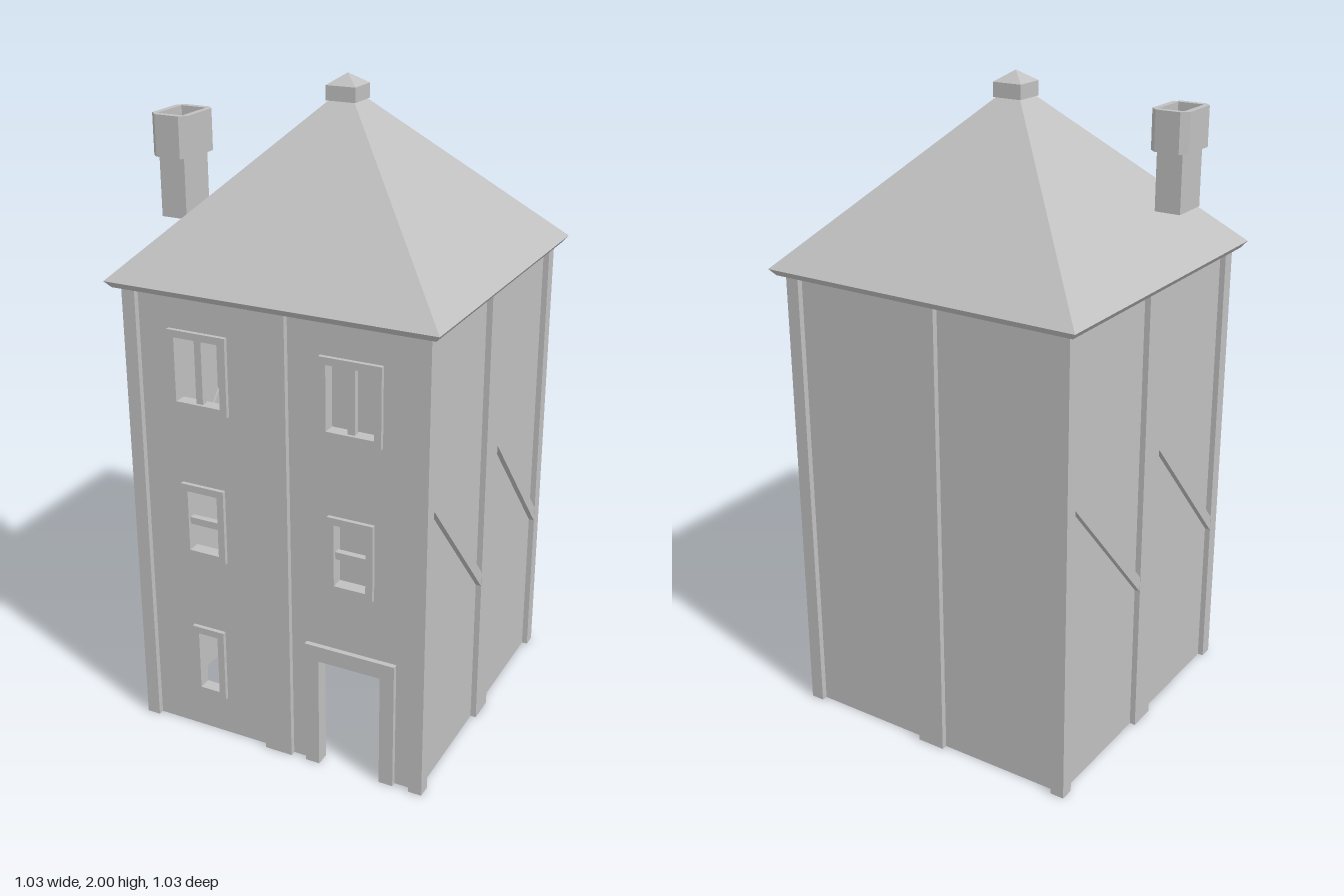
import * as THREE from 'three';

const stone = new THREE.MeshStandardMaterial({ color: 0xc0c0c0 });
stone.name = 'stone grey';

export function createModel() {
  const model = new THREE.Group();
  model.name = 'towerHouse';

  const add = (name, geometry, parent = model) => {
    const mesh = new THREE.Mesh(geometry, stone);
    mesh.name = name;
    parent.add(mesh);
    return mesh;
  };
  // Box given by its minimum and maximum corners
  const box = (name, a, b, parent) => add(name, new THREE.BoxGeometry(b[0] - a[0], b[1] - a[1], b[2] - a[2])
    .translate((a[0] + b[0]) / 2, (a[1] + b[1]) / 2, (a[2] + b[2]) / 2), parent);
  // Flat-sided square frustum given by half widths
  const frustum = (name, top, bottom, y0, y1) => {
    const g = new THREE.CylinderGeometry(top * Math.SQRT2, bottom * Math.SQRT2, y1 - y0, 4)
      .rotateY(Math.PI / 4).translate(0, (y0 + y1) / 2, 0).toNonIndexed();
    g.computeVertexNormals();
    return add(name, g);
  };
  const polygon = (points, Type = THREE.Shape) => new Type(points.map(p => new THREE.Vector2(...p)));
  const rect = (x0, y0, x1, y1) => [[x0, y0], [x1, y0], [x1, y1], [x0, y1]];
  const slab = (shape, depth) => new THREE.ExtrudeGeometry(shape, { depth, bevelEnabled: false });

  const TOP = 1.445, OUT = 0.48, IN = 0.437;

  // Windows: centre x, y range, half width, and glazing bar direction
  const windows = [
    { x: -0.243, y0: 1.09, y1: 1.33, w: 0.095, bar: 'vertical' },
    { x: 0.241, y0: 1.09, y1: 1.33, w: 0.095, bar: 'vertical' },
    { x: -0.243, y0: 0.61, y1: 0.85, w: 0.072, bar: 'horizontal' },
    { x: 0.241, y0: 0.61, y1: 0.85, w: 0.072, bar: 'horizontal' },
    { x: -0.243, y0: 0.127, y1: 0.366, w: 0.055 },
  ];
  const rim = 0.022;

  // Front wall with a doorway notch and window openings
  const front = polygon([[-0.46, 0], [0.14, 0], [0.14, 0.365], [0.34, 0.365], [0.34, 0], [0.46, 0], [0.46, TOP], [-0.46, TOP]]);
  for (const { x, y0, y1, w } of windows) {
    front.holes.push(polygon(rect(x - w + rim, y0 + rim, x + w - rim, y1 - rim), THREE.Path));
  }
  add('frontWall', slab(front, 0.018).translate(0, 0, 0.444));

  // Window frames and bars
  for (const { x, y0, y1, w, bar } of windows) {
    const group = new THREE.Group();
    group.name = 'window';
    model.add(group);
    const frame = polygon(rect(x - w, y0, x + w, y1));
    frame.holes.push(polygon(rect(x - w + rim, y0 + rim, x + w - rim, y1 - rim), THREE.Path));
    add('windowFrame', slab(frame, 0.04).translate(0, 0, 0.435), group);
    const mid = (y0 + y1) / 2 - 0.003;
    if (bar === 'vertical') box('windowBar', [x - 0.011, y0 + rim, 0.445], [x + 0.011, y1 - rim, 0.465], group);
    if (bar === 'horizontal') box('windowBar', [x - w + rim, mid - 0.011, 0.445], [x + w - rim, mid + 0.011, 0.465], group);
  }

  // Door surround
  const surround = polygon([[0.095, 0], [0.14, 0], [0.14, 0.365], [0.34, 0.365], [0.34, 0], [0.385, 0], [0.385, 0.415], [0.095, 0.415]]);
  add('doorFrame', slab(surround, 0.045).translate(0, 0, 0.433));

  // Plain walls
  box('backWall', [-0.46, 0, -0.462], [0.46, TOP, -0.444]);
  for (const s of [-1, 1]) {
    const [a, b] = s > 0 ? [0.444, 0.462] : [-0.462, -0.444];
    box('sideWall', [a, 0, -0.45], [b, TOP, 0.45]);
  }

  // Corner posts and middle posts
  for (const sx of [-1, 0, 1]) for (const sz of [-1, 0, 1]) {
    if (!sx && !sz) continue;
    const c = (IN + OUT) / 2, h = (OUT - IN) / 2;
    const hx = sx ? h : 0.045, hz = sz ? h : 0.045;
    box(sx && sz ? 'cornerPost' : 'middlePost', [sx * c - hx, 0, sz * c - hz], [sx * c + hx, TOP, sz * c + hz]);
  }

  // Diagonal braces, repeated on the opposite side by a half turn
  for (const turn of [0, Math.PI]) {
    const side = new THREE.Group();
    side.name = 'sideBraces';
    side.rotation.y = turn;
    model.add(side);
    for (const z of [0.44, -0.043]) {
      const brace = polygon([[-z, 0.925], [0.395 - z, 0.483], [0.395 - z, 0.532], [-z, 0.974]]);
      add('brace', slab(brace, 0.041).rotateY(Math.PI / 2).translate(0.438, 0, 0), side);
    }
  }

  // Roof, eave and finial
  frustum('eave', 0.515, 0.499, 1.437, 1.457);
  frustum('roof', 0, 0.515, 1.457, 1.965);
  frustum('finialBase', 0.047, 0.047, 1.925, 1.968);
  frustum('finialTip', 0, 0.047, 1.968, 2);

  // Chimney with a hollow chamfered pot
  box('chimneyShaft', [-0.447, 1.602, 0.178], [-0.365, 1.8, 0.302]);
  const [w, d, c] = [0.06, 0.082, 0.021];
  const pot = polygon([[-w + c, -d], [w - c, -d], [w, -d + c], [w, d - c], [w - c, d], [-w + c, d], [-w, d - c], [-w, -d + c]]);
  pot.holes.push(polygon(rect(-0.041, -0.062, 0.041, 0.062), THREE.Path));
  add('chimneyPot', slab(pot, 0.12).rotateX(-Math.PI / 2).translate(-0.405, 1.78, 0.24));

  return model;
}
